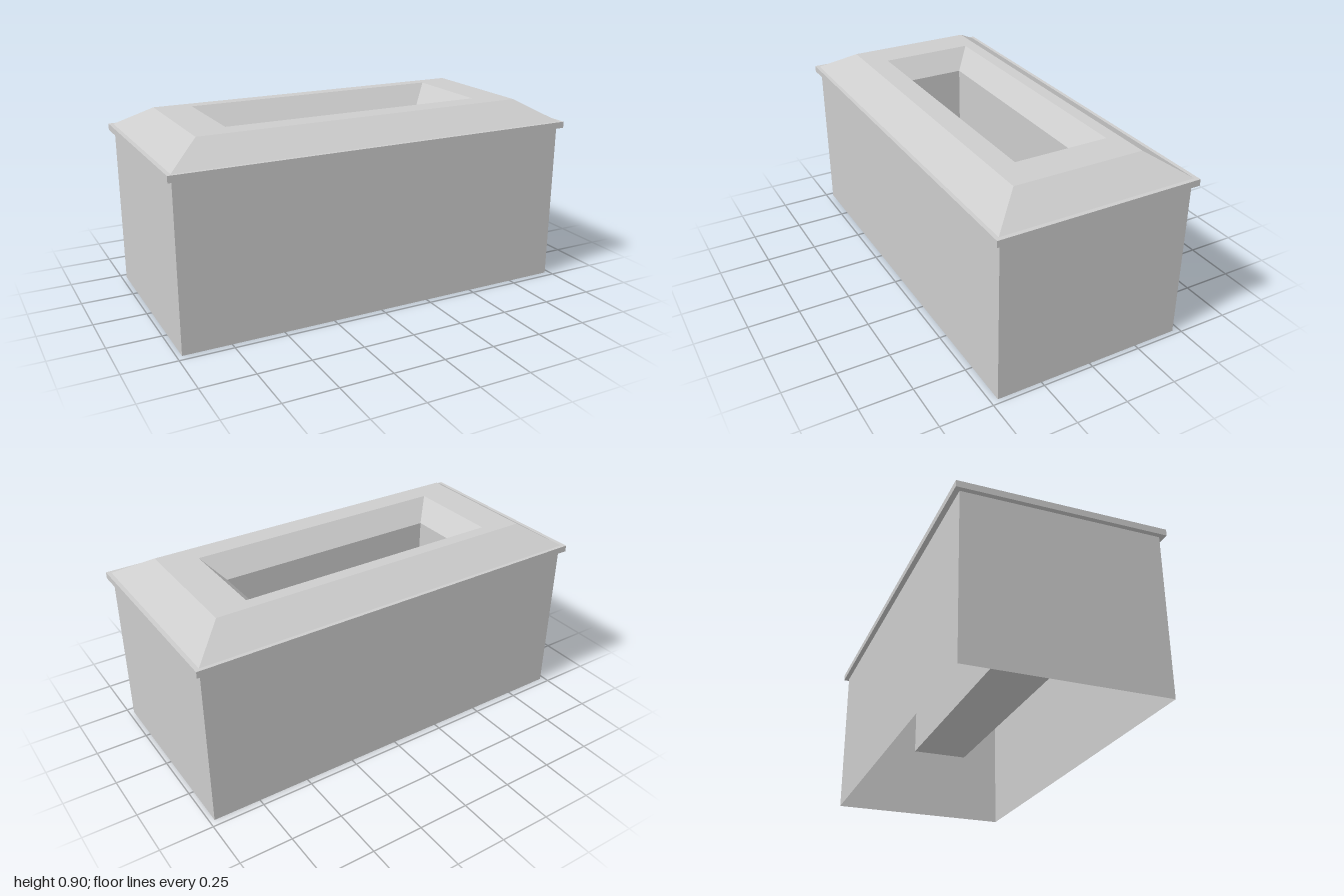
import * as THREE from 'three';

const stone = new THREE.MeshStandardMaterial({ color: 0xcccccc, side: THREE.DoubleSide });
stone.name = 'pale grey stone';

// Rectangular ring: half width, back z, front z, height
const ring = (x, back, front, y) => [[-x, y, front], [x, y, front], [x, y, back], [-x, y, back]];

// Skins consecutive rings with flat quads; separate corners keep the edges sharp
function loft(name, rings, capped = false) {
  const positions = [];
  const quad = (a, b, c, d) => positions.push(...a, ...b, ...c, ...a, ...c, ...d);
  for (let r = 0; r < rings.length - 1; r++) {
    const lower = rings[r], upper = rings[r + 1];
    for (let i = 0; i < 4; i++) {
      const j = (i + 1) % 4;
      quad(lower[i], lower[j], upper[j], upper[i]);
    }
  }
  if (capped) quad(...rings[rings.length - 1]);
  const geometry = new THREE.BufferGeometry();
  geometry.setAttribute('position', new THREE.Float32BufferAttribute(positions, 3));
  geometry.computeVertexNormals();
  const mesh = new THREE.Mesh(geometry, stone);
  mesh.name = name;
  return mesh;
}

export function createModel() {
  const model = new THREE.Group();
  model.name = 'planterBox';

  // Heights of the main levels
  const ledgeBottom = 0.777, ledgeTop = 0.808, top = 0.905, floor = 0.22;

  // Shared rings, from the foot up and then inward
  const wallTop = ring(0.977, -0.466, 0.466, ledgeBottom);
  const slopeFoot = ring(0.98, -0.472, 0.472, ledgeTop);
  const slopeTop = ring(0.82, -0.315, 0.315, top);
  const rim = ring(0.65, -0.253, 0.207, top);
  const basinTop = ring(0.56, -0.166, 0.114, ledgeTop);

  model.add(
    // Open-bottomed outer walls
    loft('walls', [ring(0.977, -0.466, 0.466, 0), wallTop]),
    // Overhanging ledge: underside, edge and narrow upper lip
    loft('ledge', [
      wallTop,
      ring(1, -0.49, 0.49, ledgeBottom),
      ring(1, -0.49, 0.49, ledgeTop),
      slopeFoot,
    ]),
    // Sloped cover with its flat top
    loft('cover', [slopeFoot, slopeTop, rim]),
    // Bevel leading down into the basin
    loft('basinBevel', [rim, basinTop]),
    // Straight-sided basin with its floor
    loft('basin', [basinTop, ring(0.56, -0.166, 0.114, floor)], true),
  );
  return model;
}
